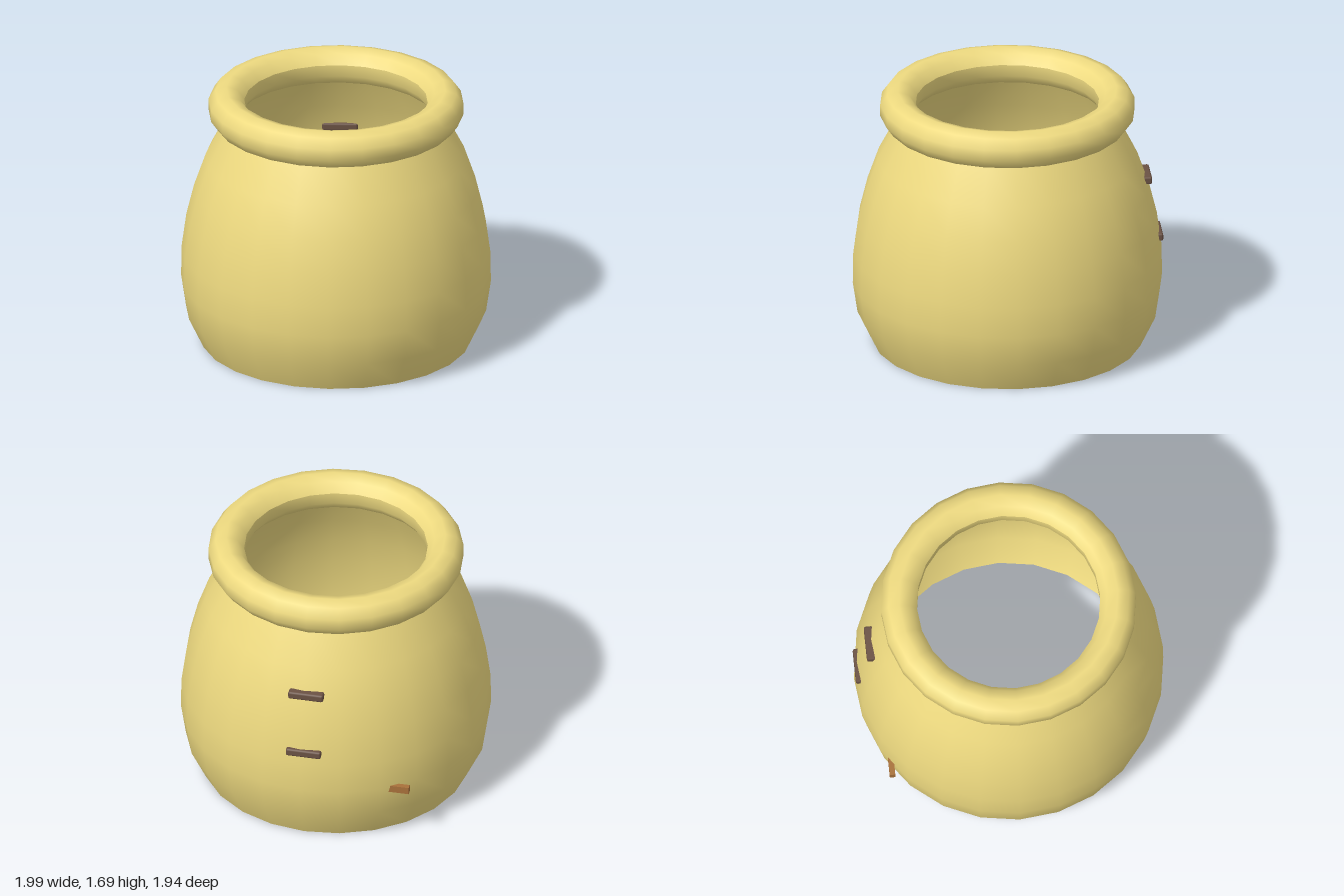
import * as THREE from 'three';
import { RoundedBoxGeometry } from 'three/addons/geometries/RoundedBoxGeometry.js';

const SIDES = 24;
const PHI = THREE.MathUtils.degToRad(-5);
const CX = 0.02; // the pot sits slightly off centre, balancing the peg

const clay = new THREE.MeshStandardMaterial({ color: 0xeeda80, side: THREE.DoubleSide });
const darkWood = new THREE.MeshStandardMaterial({ color: 0x6b5244 });
const paleWood = new THREE.MeshStandardMaterial({ color: 0xa8713a });

function add(group, name, geometry, material, x = 0, y = 0, z = 0, turn = 0) {
  const mesh = new THREE.Mesh(geometry, material);
  mesh.name = name;
  mesh.position.set(x, y, z);
  mesh.rotation.y = turn;
  group.add(mesh);
}

function lathe(profile) {
  const points = profile.map(([r, y]) => new THREE.Vector2(r, y));
  return new THREE.LatheGeometry(points, SIDES, PHI);
}

export function createModel() {
  const model = new THREE.Group();
  model.name = 'pot';

  // Thin bulging wall, open at both ends
  add(model, 'body', lathe([
    [0.85, 0], [0.945, 0.2], [0.975, 0.4], [0.972, 0.6],
    [0.942, 0.82], [0.893, 1.02], [0.82, 1.23], [0.7, 1.46],
  ]), clay, CX);

  // Rolled lip: starts at the inner side, runs under, out and back over the top
  const roll = [];
  for (let i = 0; i <= 10; i++) {
    const a = Math.PI + 2 * Math.PI * i / 10 - 0.31;
    roll.push([0.69 + 0.118 * Math.cos(a), 1.57 + 0.121 * Math.sin(a)]);
  }
  add(model, 'rim', lathe(roll), clay, CX);

  // Two wooden rungs set through the back wall
  const turn = 0.72;
  const out = new THREE.Vector3(-Math.sin(turn), 0, -Math.cos(turn));
  for (const [name, radius, y, shift] of [['upperRung', 0.875, 1.07, 0], ['lowerRung', 0.945, 0.68, 0]]) {
    add(model, name, new RoundedBoxGeometry(0.225, 0.05, 0.06, 1, 0.012), darkWood,
      CX + out.x * radius, y, out.z * radius + shift, turn);
  }

  // Small peg sticking out of the side
  add(model, 'peg', new THREE.BoxGeometry(0.15, 0.047, 0.035), paleWood, -0.933, 0.383, -0.222, turn);

  return model;
}
